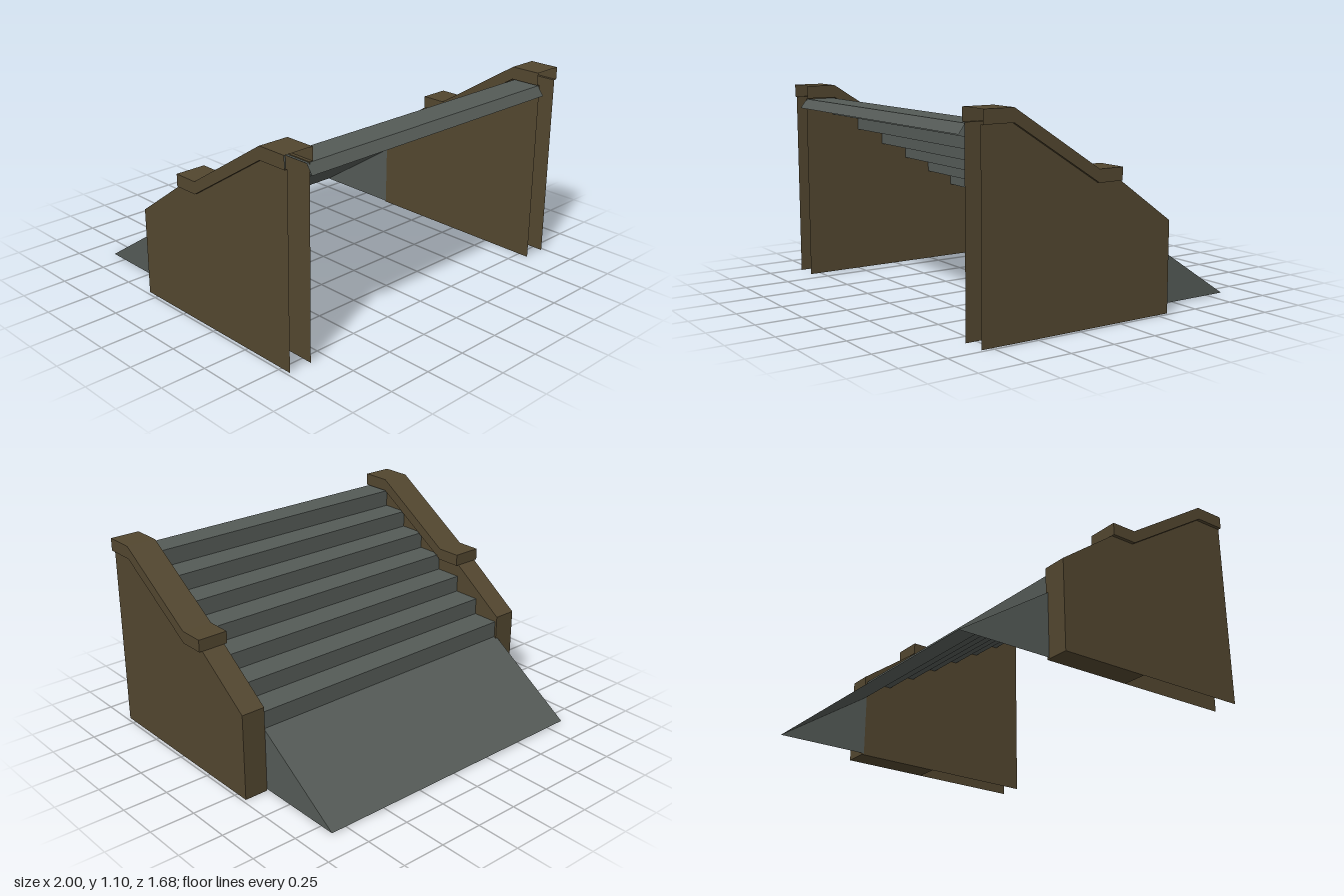
import * as THREE from 'three';

const stone = new THREE.MeshStandardMaterial({ color: 0x545a56, side: THREE.DoubleSide });
stone.name = 'greyStone';
const brown = new THREE.MeshStandardMaterial({ color: 0x52462f, side: THREE.DoubleSide });
brown.name = 'brownMasonry';

// Sheet swept along x, following a path of [z, y] points (path toward -z faces up)
function strip(name, path, x0, x1, material) {
  const pos = [];
  for (let i = 0; i < path.length - 1; i++) {
    const [z0, y0] = path[i], [z1, y1] = path[i + 1];
    pos.push(x0, y0, z0, x1, y0, z0, x1, y1, z1);
    pos.push(x0, y0, z0, x1, y1, z1, x0, y1, z1);
  }
  const geo = new THREE.BufferGeometry();
  geo.setAttribute('position', new THREE.Float32BufferAttribute(pos, 3));
  geo.computeVertexNormals();
  const mesh = new THREE.Mesh(geo, material);
  mesh.name = name;
  return mesh;
}

// Upright flat panel at x from a [z, y] outline, facing +x (dir 1) or -x (dir -1)
function panel(name, outline, x, dir, material) {
  const shape = new THREE.Shape(outline.map(([z, y]) => new THREE.Vector2(-dir * z, y)));
  const geo = new THREE.ShapeGeometry(shape).rotateY(dir * Math.PI / 2).translate(x, 0, 0);
  const mesh = new THREE.Mesh(geo, material);
  mesh.name = name;
  return mesh;
}

// Ramp, seven steps and the turned-down lip at the top
function createStairs() {
  const stairs = new THREE.Group();
  stairs.name = 'stairs';
  const x0 = -0.862, x1 = 0.845, steps = 7;
  const run = 0.159, rise = 0.0957, zStart = -0.31, yStart = 0.36;

  stairs.add(strip('ramp', [[zStart, yStart], [-0.84, 0.01]], x0, x1, stone));
  const side = [[-0.84, 0.01], [zStart, 0.01], [zStart, yStart]];
  stairs.add(panel('rampSideLeft', side, x1, 1, stone));
  stairs.add(panel('rampSideRight', side, x0, -1, stone));

  for (let i = 0; i < steps; i++) {
    const z = zStart + i * run, y = yStart + i * rise;
    stairs.add(strip('step', [[z + run, y + rise], [z, y + rise], [z, y]], x0, x1, stone));
  }
  const zTop = zStart + steps * run, yTop = yStart + steps * rise;
  stairs.add(strip('topLip', [[0.84, 0.98], [zTop, yTop]], x0, x1, stone));
  return stairs;
}

// Hollow side wall, open at the front, with a wider stepped cap
function createSideWall(name, s) {
  const wall = new THREE.Group();
  wall.name = name;
  const between = (a, b) => [Math.min(s * a, s * b), Math.max(s * a, s * b)];
  const capLow = [[0.81, 1.035], [0.64, 1.035], [0.145, 0.72], [0.003, 0.72]];
  const capHigh = [[0.81, 1.105], [0.64, 1.105], [0.145, 0.787], [0.003, 0.787]];
  const bottom = 0.003, back = -0.322;

  const outline = [...capLow, [back, 0.488], [back, bottom], [0.81, bottom]];
  wall.add(panel('wallOuterFace', outline, s * 0.982, s, brown));
  wall.add(panel('wallInnerFace', outline, s * 0.848, -s, brown));
  wall.add(strip('wallSlopeAndBack', [[0.003, 0.72], [back, 0.488], [back, bottom]],
    ...between(0.848, 0.982), brown));
  wall.add(strip('wallFoot', [[back, bottom], [0.17, bottom]], ...between(0.848, 0.982), brown));

  // Cap shell with narrow undersides where it overhangs the wall
  const capOutline = [...capHigh, ...[...capLow].reverse()];
  wall.add(panel('capOuterFace', capOutline, s, s, brown));
  wall.add(panel('capInnerFace', capOutline, s * 0.83, -s, brown));
  wall.add(strip('capTop', [...capHigh, [0.003, 0.72]], ...between(0.83, 1), brown));
  const under = [...capLow].reverse();
  wall.add(strip('capOuterUnderside', under, ...between(0.982, 1), brown));
  wall.add(strip('capInnerUnderside', under, ...between(0.83, 0.848), brown));
  return wall;
}

export function createModel() {
  const model = new THREE.Group();
  model.name = 'staircase';
  model.add(createStairs());
  model.add(createSideWall('leftWall', 1));
  model.add(createSideWall('rightWall', -1));
  return model;
}
